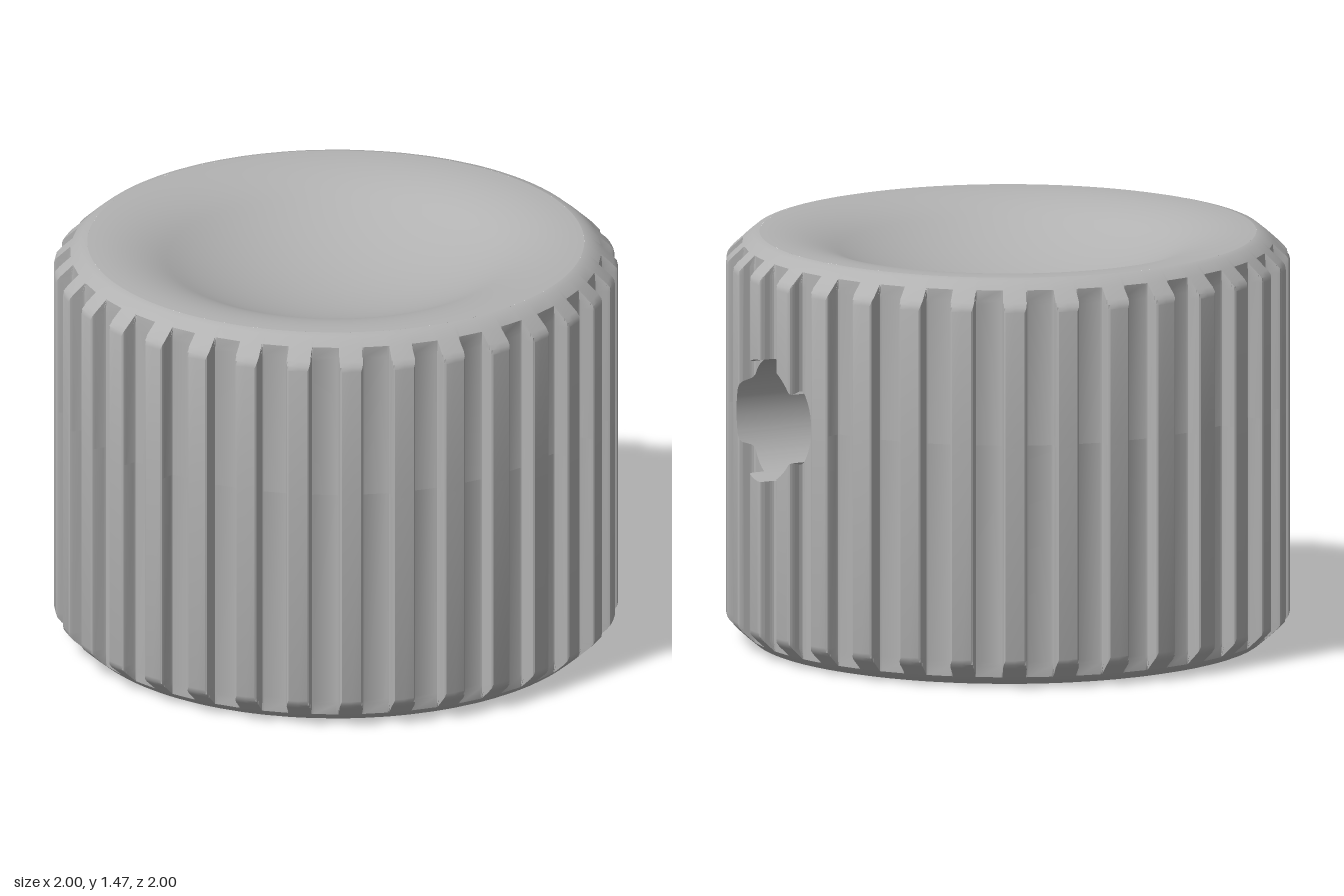
import * as THREE from 'three';
import { toCreasedNormals } from 'three/addons/utils/BufferGeometryUtils.js';

const H = 1.465, TEETH = 33, GROOVE_R = 0.94;
const HOLE_Y = 0.87, HOLE_R = 0.22, SCREW_R = 0.11, SEAT_X = 0.6, SHAFT_R = 0.25;
const BORE_R = 0.506, BORE_TOP = 0.53, SHAFT_TOP = 1.12;

const grey = new THREE.MeshStandardMaterial({ color: 0xb2b2b2 });
grey.name = 'satinGrey';

function addMesh(group, name, geometry) {
  const mesh = new THREE.Mesh(toCreasedNormals(geometry, 0.6), grey);
  mesh.name = name;
  group.add(mesh);
}

function fromQuads(quads) {
  const pos = [];
  for (const [a, b, c, d] of quads) for (const p of [a, b, c, a, c, d]) pos.push(...p);
  const g = new THREE.BufferGeometry();
  g.setAttribute('position', new THREE.Float32BufferAttribute(pos, 3));
  return g;
}

const lathe = (pts) => new THREE.LatheGeometry(pts.map(([r, y]) => new THREE.Vector2(r, y)), 128);

// Points on an arc, angles in degrees
function arc(cx, cy, r, a0, a1, n) {
  return Array.from({ length: n + 1 }, (_, i) => {
    const a = THREE.MathUtils.degToRad(a0 + (a1 - a0) * i / n);
    return [cx + r * Math.cos(a), cy + r * Math.sin(a)];
  });
}

const zOf = (c) => c.r * Math.cos(c.t);
const onHoleSide = (c) => Math.sin(c.t) > 0;

// Half height of the round side hole at a column
function halfHole(c, radius) {
  return onHoleSide(c) ? Math.sqrt(Math.max(0, radius * radius - zOf(c) ** 2)) : 0;
}

// Refine columns near the side hole and add columns exactly on its edge
function refine(cols, radius, steps) {
  const mix = (a, b, k) => ({ t: a.t + (b.t - a.t) * k, r: a.r + (b.r - a.r) * k });
  const out = [];
  for (let i = 0; i < cols.length - 1; i++) {
    const a = cols[i], b = cols[i + 1];
    const near = onHoleSide(a) && Math.min(Math.abs(zOf(a)), Math.abs(zOf(b))) < radius * 1.1;
    const n = near ? steps : 1;
    for (let k = 0; k < n; k++) {
      const p = mix(a, b, k / n), q = mix(a, b, (k + 1) / n);
      out.push(p);
      const dp = Math.abs(zOf(p)) - radius, dq = Math.abs(zOf(q)) - radius;
      if (near && dp * dq < 0) out.push(mix(p, q, dp / (dp - dq)));
    }
  }
  out.push(cols[cols.length - 1]);
  return out;
}

// Surface through rows; each row gives [radius, y] for a column
function shell(cols, rows) {
  const at = (c, row) => {
    const [r, y] = row(c);
    return [r * Math.sin(c.t), y, r * Math.cos(c.t)];
  };
  const quads = [];
  for (let i = 0; i < cols.length - 1; i++) {
    for (let j = 0; j < rows.length - 1; j++) {
      const a = cols[i], b = cols[i + 1];
      quads.push([at(a, rows[j]), at(b, rows[j]), at(b, rows[j + 1]), at(a, rows[j + 1])]);
    }
  }
  return fromQuads(quads);
}

export function createModel() {
  const group = new THREE.Group();
  group.name = 'knob';

  // Toothed outline: angle offset and radius across one tooth and groove
  const half = [[0, 1], [0.034, 1], [0.04, 0.996], [0.043, 0.986], [0.043, 0.952], [0.046, 0.944], [0.053, GROOVE_R]];
  const pitch = Math.PI * 2 / TEETH;
  const outline = [];
  for (let k = 0; k < TEETH; k++) {
    for (const [o, r] of half) outline.push({ t: k * pitch + o, r });
    for (const [o, r] of half.slice(1).reverse()) outline.push({ t: (k + 1) * pitch - o, r });
  }
  outline.push({ t: Math.PI * 2, r: 1 });
  const cols = refine(outline, HOLE_R, 12);

  // Grip wall with chamfered ends, split at the level of the side hole
  const chamfer = [[0.88, 0], [0.905, 0.006], [0.94, 0.035], [0.983, 0.074], [0.996, 0.089], [1, 0.105]];
  const low = chamfer.map(([R, y]) => (c) => [Math.min(R, c.r), y]);
  const high = chamfer.map(([R, y]) => (c) => [Math.min(R, c.r), H - y]).reverse();
  addMesh(group, 'lowerGrip', shell(cols, [...low, (c) => [c.r, HOLE_Y - halfHole(c, HOLE_R)]]));
  addMesh(group, 'upperGrip', shell(cols, [(c) => [c.r, HOLE_Y + halfHole(c, HOLE_R)], ...high]));

  // Wall of the side hole, from the toothed surface in to its seat
  const wall = [];
  for (let i = 0; i < cols.length - 1; i++) {
    const a = cols[i], b = cols[i + 1];
    const ha = halfHole(a, HOLE_R), hb = halfHole(b, HOLE_R);
    if (ha + hb === 0) continue;
    for (const s of [-1, 1]) {
      const ya = HOLE_Y + s * ha, yb = HOLE_Y + s * hb;
      const q = [
        [a.r * Math.sin(a.t), ya, zOf(a)], [b.r * Math.sin(b.t), yb, zOf(b)],
        [SEAT_X, yb, zOf(b)], [SEAT_X, ya, zOf(a)],
      ];
      wall.push(s < 0 ? q : q.reverse());
    }
  }
  addMesh(group, 'screwRecess', fromQuads(wall));

  // Flat seat and narrow screw hole
  const screw = lathe([[HOLE_R, SEAT_X], [SCREW_R, SEAT_X], [SCREW_R, 0.225]]);
  screw.rotateZ(-Math.PI / 2).translate(0, HOLE_Y, 0);
  addMesh(group, 'screwHole', screw);

  // Dished top: rounded rim flowing into a shallow bowl
  const slope = 26, rimR = 0.6, rimStart = 0.86;
  const bowlR = rimStart - rimR * Math.sin(THREE.MathUtils.degToRad(slope));
  const rim = arc(rimStart, H - rimR, rimR, 90, 90 + slope, 10);
  const edgeY = rim[rim.length - 1][1];
  const R = bowlR / Math.sin(THREE.MathUtils.degToRad(slope));
  const bowl = arc(0, edgeY + R * Math.cos(THREE.MathUtils.degToRad(slope)), R, -90 + slope, -90, 14);
  bowl[bowl.length - 1][0] = 0;
  addMesh(group, 'dishedTop', lathe([[0.88, H], ...rim, ...bowl.slice(1)]));

  // Underside with a rounded counterbore and the main bore
  addMesh(group, 'underside', lathe([
    [SHAFT_R, BORE_TOP], [BORE_R, BORE_TOP], [BORE_R, 0.14],
    ...arc(0.515, 0.09, 0.05, 90, 0, 6),
    ...arc(0.62, 0.055, 0.055, 180, 270, 6),
    [0.88, 0],
  ]));

  // Blind shaft socket, pierced by the screw hole
  const ring = Array.from({ length: 97 }, (_, i) => ({ t: i / 96 * Math.PI * 2, r: SHAFT_R }));
  const socket = refine(ring, SCREW_R, 4);
  addMesh(group, 'socketUpperWall', shell(socket, [
    () => [0, SHAFT_TOP], () => [SHAFT_R, SHAFT_TOP], (c) => [SHAFT_R, HOLE_Y + halfHole(c, SCREW_R)],
  ]));
  addMesh(group, 'socketLowerWall', shell(socket, [
    (c) => [SHAFT_R, HOLE_Y - halfHole(c, SCREW_R)], () => [SHAFT_R, BORE_TOP],
  ]));

  return group;
}
